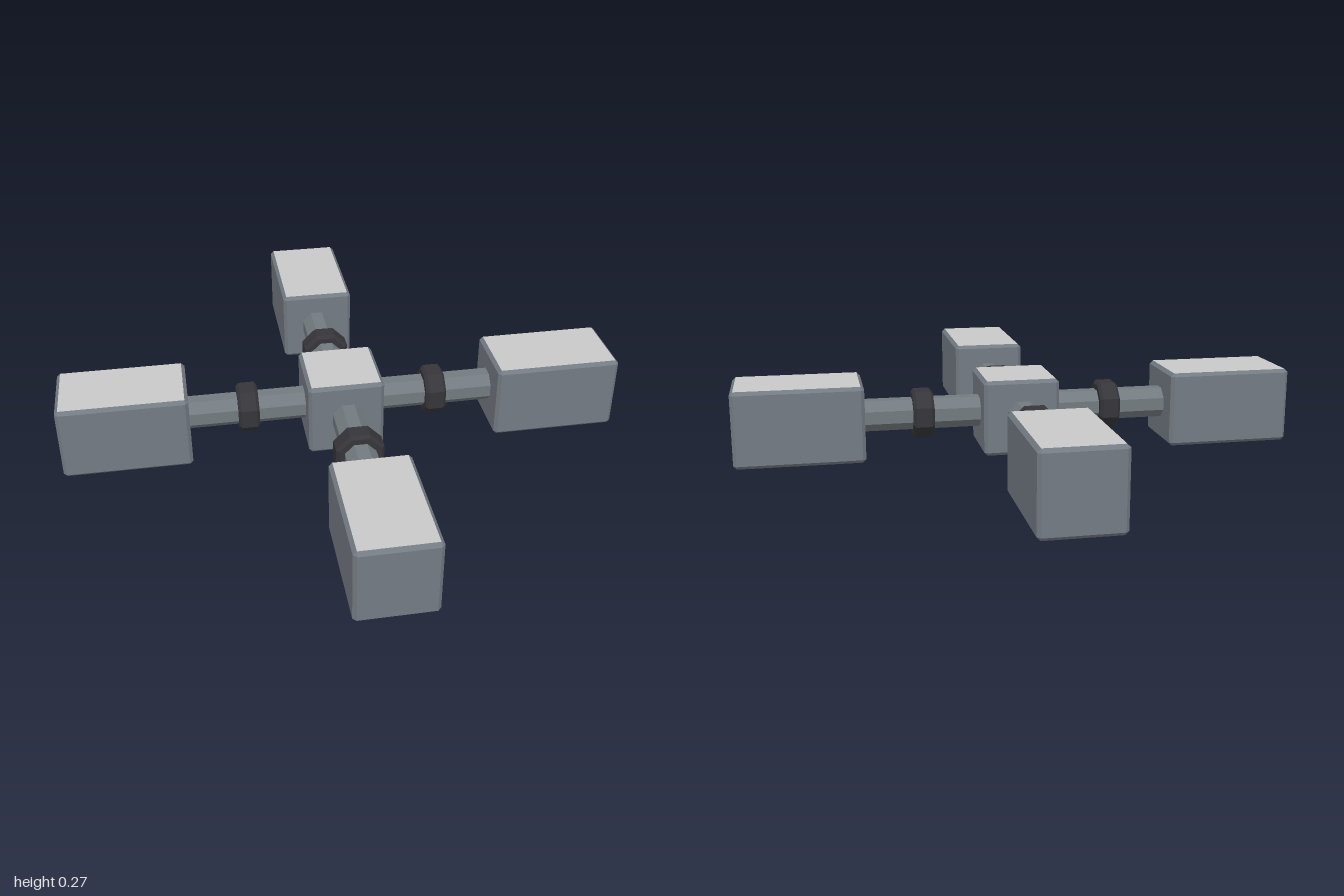
import * as THREE from 'three';
import { ConvexGeometry } from 'three/addons/geometries/ConvexGeometry.js';

const H = 0.27, MID = H / 2, BEVEL = 0.012;

// Chamfered box: group 0 = sides and chamfers, group 1 = flat top and bottom
function chamferedBox(w, h, d) {
  const pts = [];
  for (const x of [-1, 1]) for (const y of [-1, 1]) for (const z of [-1, 1])
    for (let axis = 0; axis < 3; axis++) {
      const inset = [0, 1, 2].map(i => (i === axis ? 0 : BEVEL));
      pts.push(new THREE.Vector3(
        x * (w / 2 - inset[0]), y * (h / 2 - inset[1]), z * (d / 2 - inset[2])));
    }
  const geo = new ConvexGeometry(pts);
  const normal = geo.attributes.normal;
  for (let i = 0; i < normal.count; i += 3)
    geo.addGroup(i, 3, Math.abs(normal.getY(i)) > 0.99 ? 1 : 0);
  return geo;
}

// Faceted eight-sided solid of revolution, laid along z with flats facing up and sideways
function octagonal(profile) {
  const pts = profile.map(([r, y]) => new THREE.Vector2(r / Math.cos(Math.PI / 8), y));
  const geo = new THREE.LatheGeometry(pts, 8, Math.PI / 8).rotateX(Math.PI / 2).toNonIndexed();
  geo.computeVertexNormals();
  return geo;
}

function add(parent, name, geometry, material, x, y, z) {
  const mesh = new THREE.Mesh(geometry, material);
  mesh.name = name;
  mesh.position.set(x, y, z);
  parent.add(mesh);
}

export function createModel() {
  const make = (name, color) => {
    const m = new THREE.MeshStandardMaterial({ color });
    m.name = name;
    return m;
  };
  const steel = make('blue grey steel', 0x747b83);
  const pale = make('pale grey', 0xc8c8c8);
  const pipeGrey = make('pipe grey', 0x737b80);
  const dark = make('dark collar', 0x35353a);

  const model = new THREE.Group();
  model.name = 'crossStructure';

  // Central hub
  add(model, 'hub', chamferedBox(H, H, H), [steel, pale], 0, MID, 0);

  // Shared arm parts
  const moduleGeo = chamferedBox(H, H, 0.45);
  const pipeGeo = octagonal([[0.054, -0.215], [0.054, 0.215]]);
  const c = 0.037, r = 0.083, b = 0.01;
  const collarGeo = octagonal([
    [0.05, -c], [r - b, -c], [r, -c + b], [r, c - b], [r - b, c], [0.05, c]]);

  // Four arms, each a quarter turn apart
  ['frontArm', 'leftArm', 'backArm', 'rightArm'].forEach((name, i) => {
    const arm = new THREE.Group();
    arm.name = name;
    arm.rotation.y = i * Math.PI / 2;
    add(arm, 'connectingPipe', pipeGeo, pipeGrey, 0.004, MID + 0.005, 0.34);
    add(arm, 'pipeCollar', collarGeo, dark, 0.004, MID + 0.005, 0.34);
    add(arm, 'endModule', moduleGeo, [steel, pale], 0, MID, 0.775);
    model.add(arm);
  });
  return model;
}
